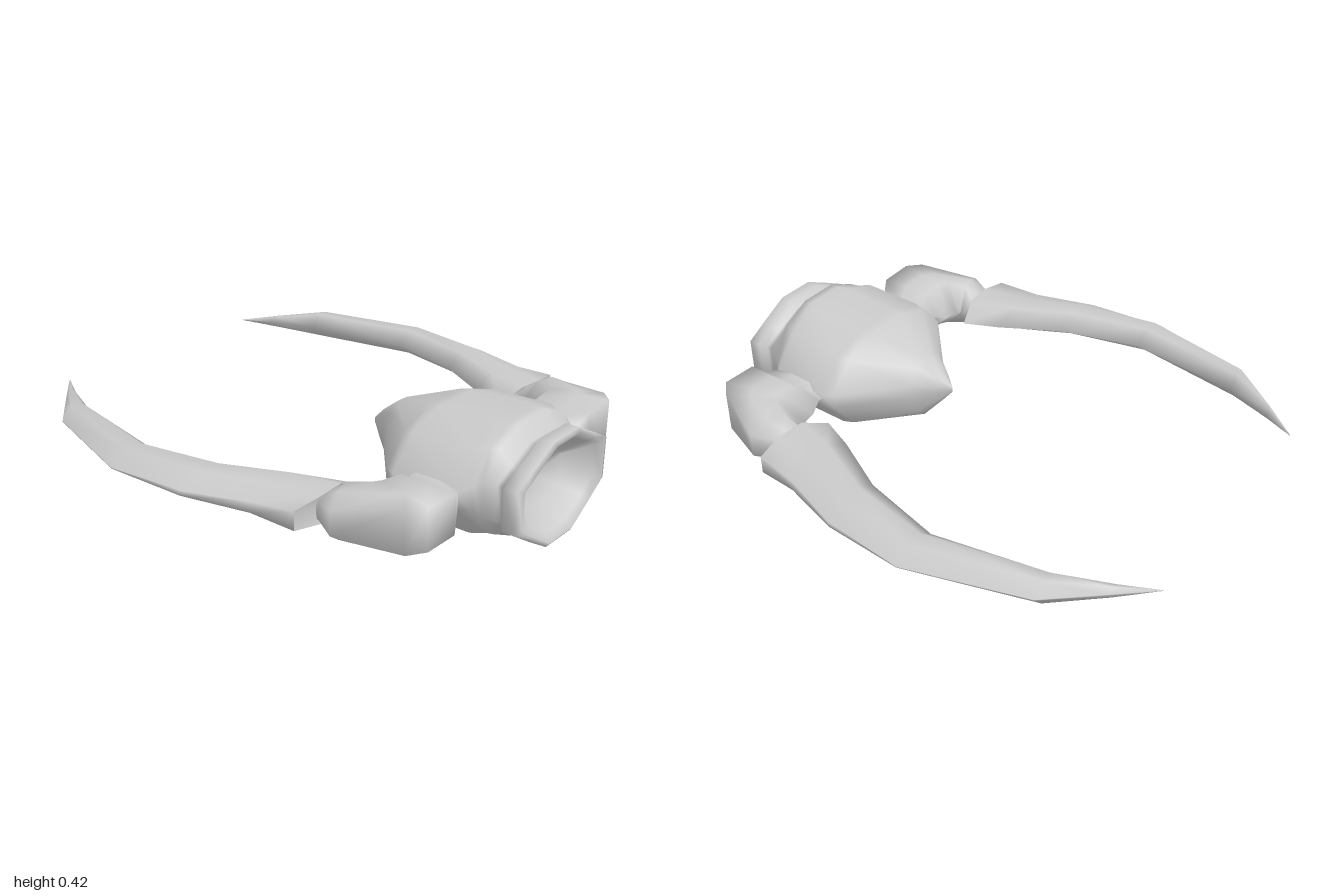
import * as THREE from 'three';

const material = new THREE.MeshStandardMaterial({ color: 0xcccccc });

// Skins a series of equal-length rings; the ends are closed with centre fans.
function loft(name, rings, capped = true) {
  const n = rings[0].length;
  const pos = rings.flat(2);
  const idx = [];
  for (let r = 0; r < rings.length - 1; r++) {
    for (let i = 0; i < n; i++) {
      const a = r * n + i, b = r * n + (i + 1) % n;
      idx.push(a, b, b + n, a, b + n, a + n);
    }
  }
  if (capped) {
    [[rings[0], true], [rings[rings.length - 1], false]].forEach(([ring, first]) => {
      const base = pos.length / 3;
      ring.forEach(p => pos.push(...p));
      pos.push(...[0, 1, 2].map(k => ring.reduce((s, p) => s + p[k], 0) / n));
      for (let i = 0; i < n; i++) {
        const a = base + i, b = base + (i + 1) % n;
        idx.push(...(first ? [b, a, base + n] : [a, b, base + n]));
      }
    });
  }
  // Turn the faces outward if the enclosed volume comes out negative
  let volume = 0;
  const [A, B, C] = [0, 1, 2].map(() => new THREE.Vector3());
  for (let i = 0; i < idx.length; i += 3) {
    [A, B, C].forEach((v, k) => v.fromArray(pos, idx[i + k] * 3));
    volume += A.dot(B.cross(C));
  }
  if (volume < 0) idx.reverse();
  const geo = new THREE.BufferGeometry();
  geo.setAttribute('position', new THREE.Float32BufferAttribute(pos, 3));
  geo.setIndex(idx);
  geo.computeVertexNormals();
  const mesh = new THREE.Mesh(geo, material);
  mesh.name = name;
  return mesh;
}

// Twelve-sided body section: z, half width, bottom, top, shoulder height, side height
function bodyRing([z, w, bottom, top, shoulder, side]) {
  const mid = 0.215;
  const at = k => mid + k * (k > 0 ? top - mid : mid - bottom);
  const half = [[0.28, 1], [0.7, shoulder], [1, side], [1, -side], [0.7, -shoulder], [0.28, -1]];
  const right = half.map(([x, k]) => [x * w, at(k), z]);
  const left = right.map(([x, y]) => [-x, y, z]).reverse();
  return [...right, ...left];
}

// Limb section between an inner and an outer point in plan:
// bottom and top heights, then the heights of the blunt outer edge, and a bow in z
function limbRing(sign, [xi, zi, xo, zo, bottom, top, low = 0.19, high = 0.21, bow = 0]) {
  const mid = (bottom + top) / 2;
  return [[0, mid, 0], [0.32, top, bow], [0.66, top, bow], [1, high, 0],
    [1, low, 0], [0.66, bottom, bow], [0.32, bottom, bow]]
    .map(([t, y, b]) => [sign * (xi + (xo - xi) * t), y, zi + (zo - zi) * t + b]);
}

export function createModel() {
  const model = new THREE.Group();
  model.name = 'pincerHead';

  // Body: hollow mouth, rolled lip, groove and tapering shell
  model.add(loft('body', [
    [0.88, 0.001, 0.209, 0.221, 0.66, 0.4],
    [0.90, 0.14, 0.11, 0.285, 0.66, 0.4],
    [0.975, 0.225, 0.045, 0.355, 0.66, 0.4],
    [1.0, 0.25, 0.02, 0.375, 0.66, 0.4],
    [0.99, 0.278, 0.005, 0.39, 0.66, 0.4],
    [0.94, 0.28, 0.005, 0.39, 0.66, 0.4],
    [0.92, 0.255, 0.03, 0.36, 0.66, 0.4],
    [0.90, 0.255, 0.03, 0.36, 0.66, 0.4],
    [0.86, 0.28, 0.0, 0.42, 0.74, 0.3],
    [0.83, 0.29, 0.0, 0.418, 0.75, 0.2],
    [0.79, 0.34, 0.0, 0.415, 0.75, 0.12],
    [0.55, 0.35, 0.0, 0.398, 0.75, 0.12],
    [0.51, 0.33, 0.003, 0.393, 0.75, 0.14],
    [0.31, 0.1, 0.06, 0.325, 0.76, 0.2],
    [0.24, 0.045, 0.14, 0.27, 0.76, 0.2],
    [0.19, 0.001, 0.2, 0.22, 0.76, 0.2],
  ].map(bodyRing), false));

  for (const [side, sign] of [['left', 1], ['right', -1]]) {
    // Joint: pinched at the body, swelling and turning backward
    model.add(loft(side + 'Joint', [
      [0.32, 0.55, 0.32, 0.79, 0.19, 0.26, 0.2, 0.25],
      [0.37, 0.55, 0.37, 0.83, 0.20, 0.25, 0.2, 0.25],
      [0.42, 0.535, 0.41, 0.85, 0.11, 0.29, 0.14, 0.29],
      [0.48, 0.525, 0.55, 0.85, 0.10, 0.297, 0.14, 0.295],
      [0.50, 0.52, 0.60, 0.80, 0.10, 0.297, 0.13, 0.295],
      [0.50, 0.515, 0.70, 0.58, 0.11, 0.285, 0.16, 0.25],
      [0.50, 0.50, 0.66, 0.50, 0.15, 0.25, 0.17, 0.24],
      [0.51, 0.47, 0.65, 0.47, 0.16, 0.24, 0.17, 0.23],
    ].map(r => limbRing(sign, r))));

    // Pincer: long curved blade with a blunt base, ending in a point
    model.add(loft(side + 'Pincer', [
      [0.43, 0.45, 0.755, 0.48, 0.15, 0.25, 0.165, 0.235, 0.025],
      [0.49, 0.31, 0.78, 0.31, 0.15, 0.25, 0.18, 0.22],
      [0.615, 0.08, 0.86, 0.07, 0.15, 0.25],
      [0.70, -0.24, 0.89, -0.245, 0.15, 0.25, 0.198, 0.202],
      [0.63, -0.69, 0.76, -0.69, 0.15, 0.25, 0.198, 0.202],
      [0.553, -0.88, 0.61, -0.865, 0.177, 0.223, 0.198, 0.202],
      [0.489, -1.0, 0.492, -1.0, 0.199, 0.201, 0.199, 0.201],
    ].map(r => limbRing(sign, r))));
  }
  return model;
}
